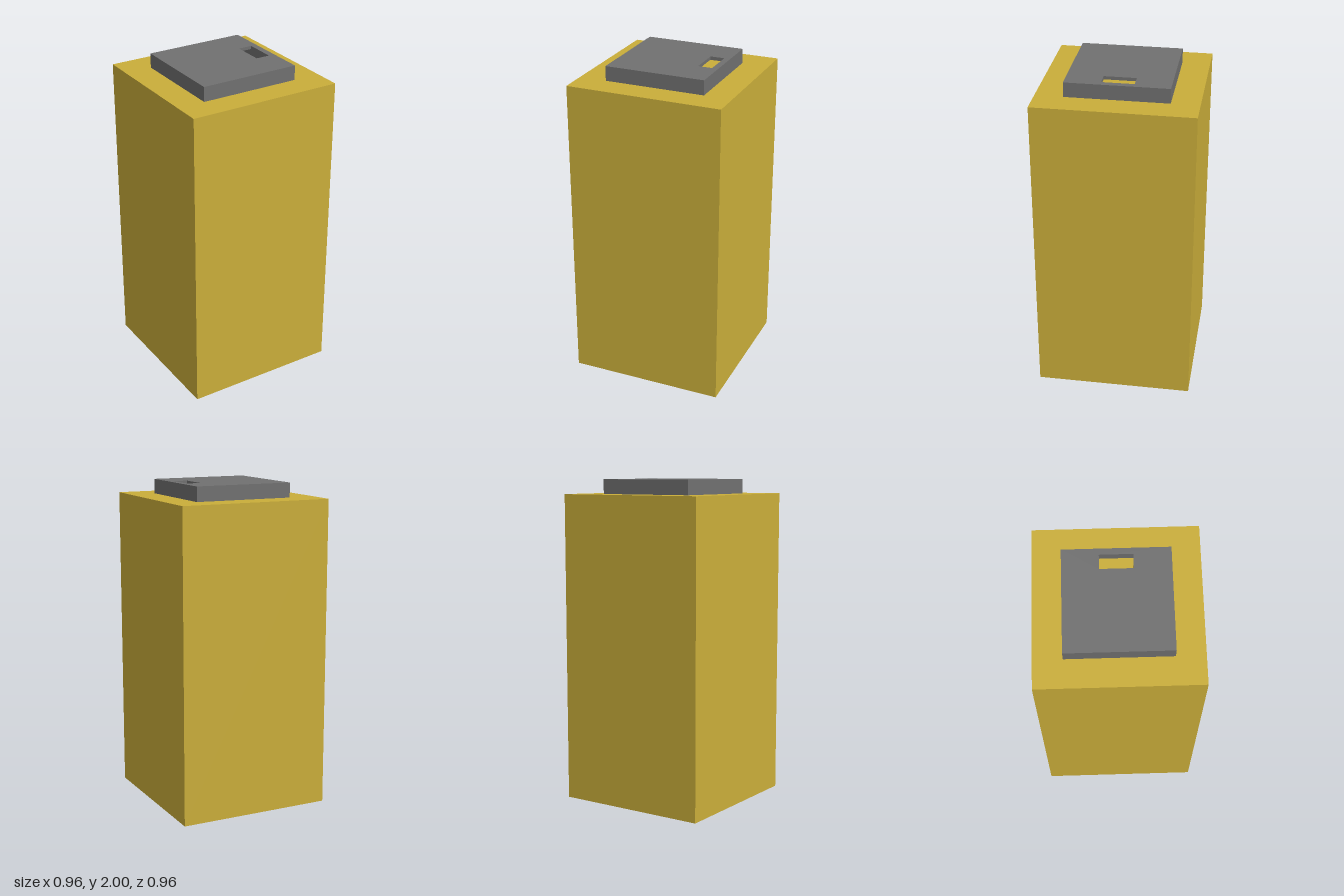
import * as THREE from 'three';

const BODY = 0.96, BODY_TOP = 1.91, TOP = 2, LID = 0.62, WALL = 0.02;

function rect(target, x0, x1, y0, y1) {
  target.moveTo(x0, y0);
  target.lineTo(x1, y0);
  target.lineTo(x1, y1);
  target.lineTo(x0, y1);
  target.closePath();
  return target;
}

// Horizontal plate with a rectangular hole, hole given as [x0, x1, z0, z1]
function holedPlate(name, material, size, hole, y, height) {
  const h = size / 2;
  const shape = rect(new THREE.Shape(), -h, h, -h, h);
  const [x0, x1, z0, z1] = hole;
  shape.holes.push(rect(new THREE.Path(), x0, x1, -z1, -z0));
  const geometry = new THREE.ExtrudeGeometry(shape, { depth: height, bevelEnabled: false });
  geometry.rotateX(-Math.PI / 2);
  const mesh = new THREE.Mesh(geometry, material);
  mesh.name = name;
  mesh.position.y = y;
  return mesh;
}

export function createModel() {
  const model = new THREE.Group();
  model.name = 'slottedBox';
  const yellow = new THREE.MeshStandardMaterial({ color: 0xcaae3a });
  const grey = new THREE.MeshStandardMaterial({ color: 0x707070 });

  // Tall square body
  const body = new THREE.Mesh(new THREE.BoxGeometry(BODY, BODY_TOP, BODY), yellow);
  body.name = 'body';
  body.position.y = BODY_TOP / 2;
  model.add(body);

  // Hollow lid: a rim of four walls under a slotted top plate
  const lid = new THREE.Group();
  lid.name = 'lid';
  const inner = LID / 2 - WALL;
  lid.add(
    holedPlate('lidRim', grey, LID, [-inner, inner, -inner, inner], BODY_TOP, TOP - WALL - BODY_TOP),
    holedPlate('slottedLidTop', grey, LID, [0.185, 0.272, -0.098, 0.095], TOP - WALL, WALL)
  );
  model.add(lid);
  return model;
}
